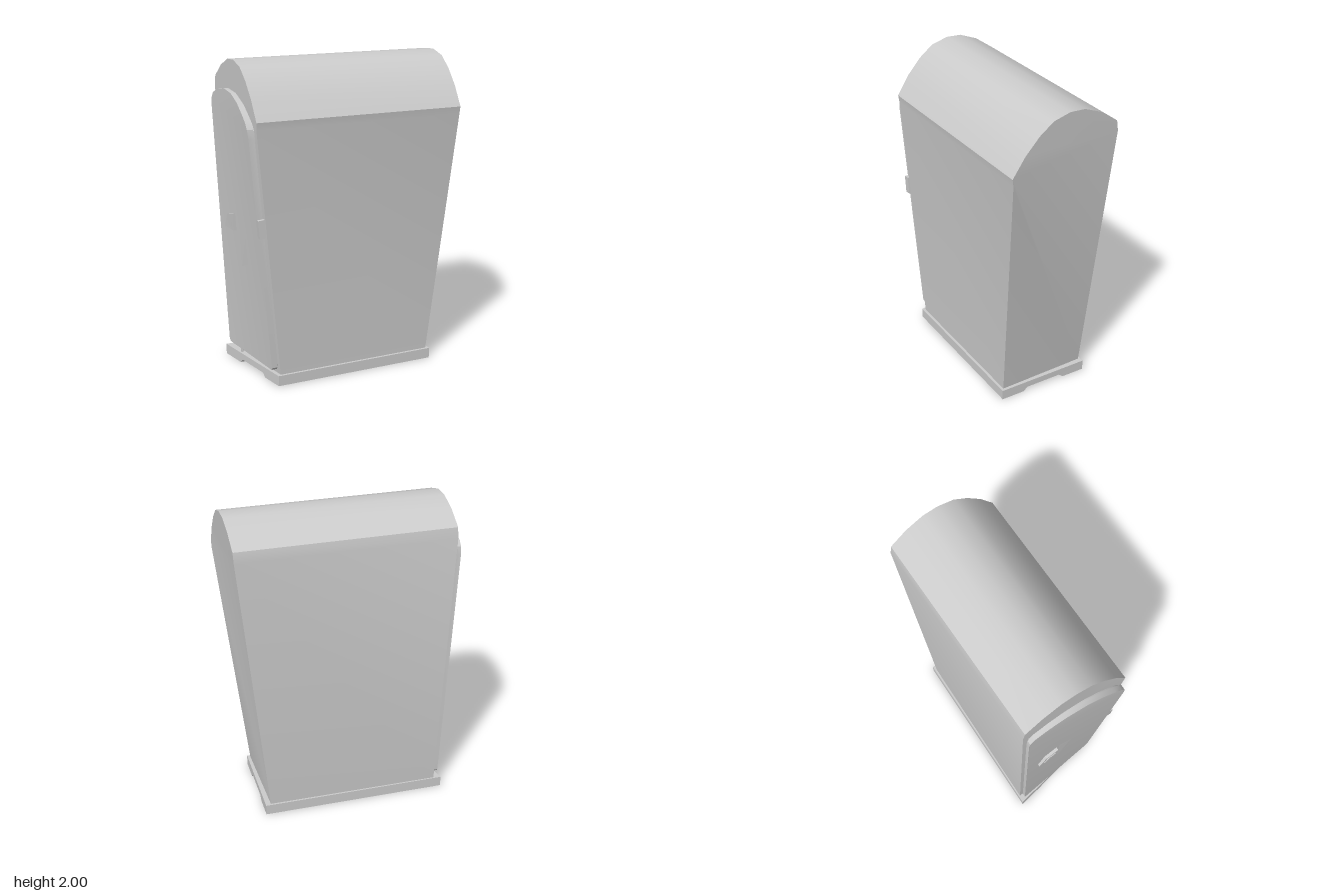
import * as THREE from 'three';
import { toCreasedNormals } from 'three/addons/utils/BufferGeometryUtils.js';

const { lerp, clamp } = THREE.MathUtils;
const material = new THREE.MeshStandardMaterial({ color: 0xcccccc });

// Joins a [z, y] outline on the left with the same outline on the right.
// The outline runs bottom front, bottom back, then up and over to the front.
function loft(name, outline, left, right, capSplit = [outline.map((_, i) => i)]) {
  const L = outline.map(([z, y]) => left(z, y));
  const R = outline.map(([z, y]) => right(z, y));
  const pos = [];
  const tri = (...pts) => pts.forEach((p) => pos.push(p.x, p.y, p.z));
  outline.forEach((_, i) => {
    const j = (i + 1) % outline.length;
    tri(L[i], L[j], R[j]);
    tri(L[i], R[j], R[i]);
  });
  for (const ids of capSplit) {
    const flat = ids.map((i) => new THREE.Vector2(-outline[i][0], outline[i][1]));
    for (const [a, b, c] of THREE.ShapeUtils.triangulateShape(flat, [])) {
      tri(R[ids[a]], R[ids[b]], R[ids[c]]);
      tri(L[ids[a]], L[ids[c]], L[ids[b]]);
    }
  }
  const geometry = new THREE.BufferGeometry();
  geometry.setAttribute('position', new THREE.Float32BufferAttribute(pos, 3));
  const mesh = new THREE.Mesh(toCreasedNormals(geometry, 0.42), material);
  mesh.name = name;
  return mesh;
}

const backness = (z) => clamp((0.33 - z) / 0.66, 0, 1);

// The door end of the cabinet: skewed at the bottom, square at the top
function doorEnd(z, y) {
  const t = clamp((y - 0.067) / 1.58, 0, 1);
  const u = backness(z);
  return lerp(lerp(-0.51, -0.605, u), -0.666, t);
}

// A surface lying a given distance outside the door end
const outside = (front, back = front) => (z, y) =>
  new THREE.Vector3(doorEnd(z, y) - lerp(front, back, backness(z)), y, z);

export function createModel() {
  const group = new THREE.Group();
  group.name = 'cabinet';

  // Plinth with a shallow channel along its underside
  const baseOutline = [
    [0.32, 0], [0.16, 0], [0.135, 0.025], [-0.11, 0.025], [-0.14, 0],
    [-0.32, 0], [-0.32, 0.067], [0.32, 0.067],
  ];
  group.add(loft('base', baseOutline,
    (z, y) => new THREE.Vector3(lerp(-0.535, -0.65, (0.32 - z) / 0.64), y, z),
    (z, y) => new THREE.Vector3(lerp(0.54, 0.555, (0.32 - z) / 0.64), y, z < -0.2 ? z * 0.925 : z)));

  // Tapered body with the curved roof
  const bodyOutline = [
    [0.303, 0.06], [-0.31, 0.06], [-0.355, 1.8], [-0.343, 1.867],
    [-0.23, 1.947], [-0.11, 1.995], [-0.01, 2], [0.1, 1.97],
    [0.19, 1.9], [0.28, 1.8], [0.36, 1.677], [0.353, 1.63],
  ];
  group.add(loft('body', bodyOutline, outside(0),
    (z, y) => new THREE.Vector3(
      y < 1.63 ? lerp(0.52, 0.7, (y - 0.06) / 1.57) : lerp(0.7, 0.712, (y - 1.63) / 0.37),
      y, z < -0.2 && y < 0.1 ? -0.283 : z),
    [[0, 1, 2, 10, 11], [2, 3, 4, 5, 6, 7, 8, 9, 10]]));

  // Door following the roof curve, on a slightly smaller seal
  const doorOutline = [
    [0.28, 0.1], [-0.28, 0.1], [-0.292, 0.115], [-0.335, 1.69], [-0.328, 1.735],
    [-0.3, 1.768], [-0.2, 1.805], [-0.08, 1.822], [0.05, 1.81], [0.16, 1.768],
    [0.25, 1.71], [0.3, 1.672], [0.326, 1.635], [0.335, 1.58], [0.292, 0.115],
  ];
  const sealOutline = doorOutline.map(([z, y]) => [z * 0.96, 0.95 + (y - 0.95) * 0.985]);
  group.add(loft('doorSeal', sealOutline, outside(0.014), outside(-0.004)));
  group.add(loft('door', doorOutline, outside(0.048, 0.033), outside(0.012, 0.008)));

  // Handle plate with a raised grip
  const plate = [[-0.08, 0.92], [-0.22, 0.92], [-0.17, 1.01], [-0.08, 1.03]];
  const grip = plate.map(([z, y]) => [-0.13 + (z + 0.13) * 0.6, 0.965 + (y - 0.965) * 0.6]);
  group.add(loft('handlePlate', plate, outside(0.052, 0.038), outside(0.03, 0.02)));
  group.add(loft('handleGrip', grip, outside(0.057, 0.043), outside(0.03, 0.02)));

  // Latch on the front edge of the door
  const latch = new THREE.Mesh(new THREE.BoxGeometry(0.042, 0.115, 0.035), material);
  latch.name = 'latch';
  latch.position.set(-0.635, 1.032, 0.325);
  latch.rotation.z = 0.09;
  group.add(latch);

  // Pivot pin under the door
  const pin = new THREE.Mesh(new THREE.CylinderGeometry(0.008, 0.008, 0.05, 10), material);
  pin.name = 'pivotPin';
  pin.position.set(-0.6, 0.085, -0.15);
  group.add(pin);

  return group;
}
